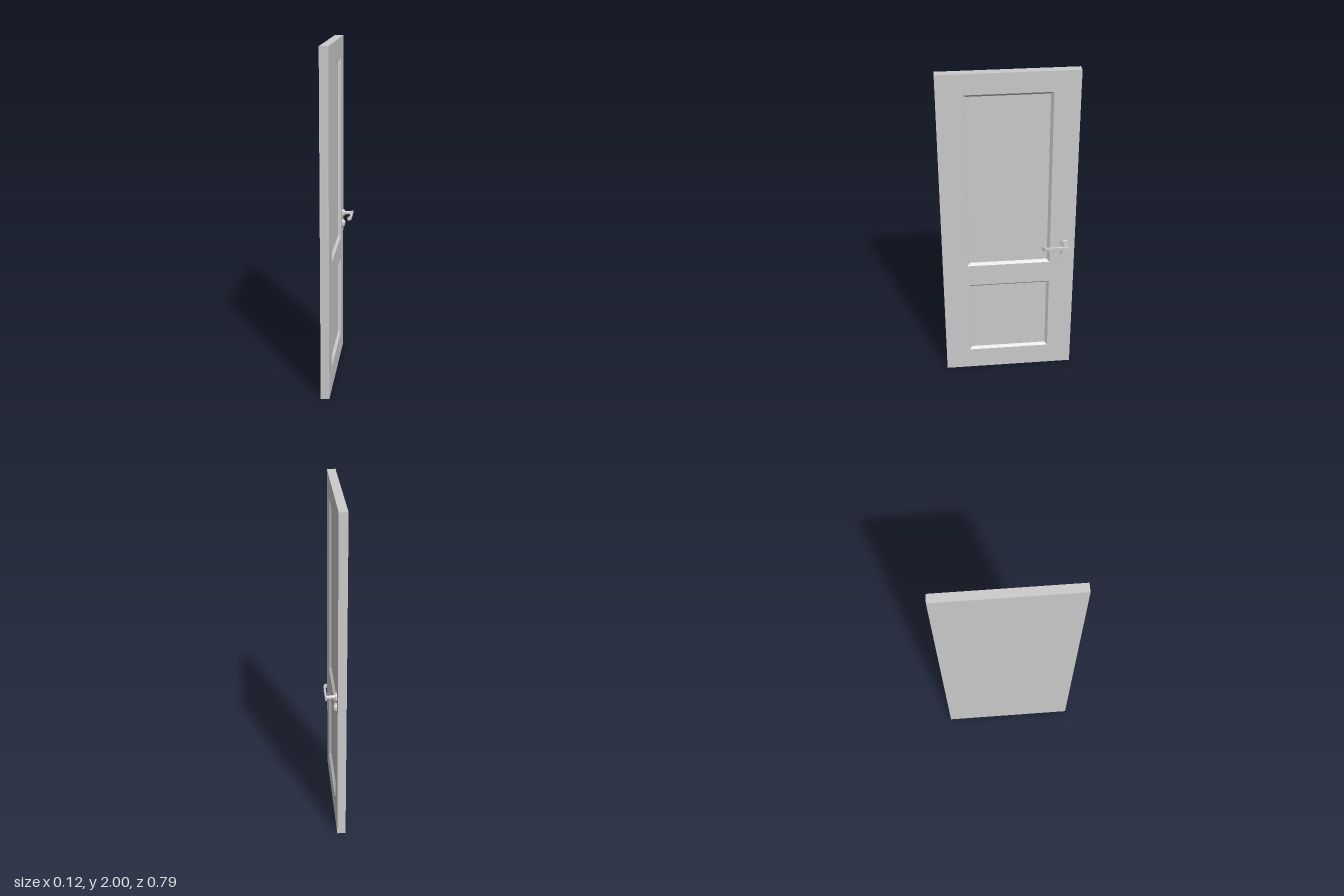
import * as THREE from 'three';
import { toCreasedNormals } from 'three/addons/utils/BufferGeometryUtils.js';

// Built facing +z (x across, y up, z outward), then turned so the panelled face looks to +x.
const HALF_W = 0.395, HEIGHT = 2;
const BACK = -0.06, FACE = -0.01, FLOOR = -0.025;
const PANELS = [[0.14, 0.64], [0.78, 1.88]]; // bottom and top of each panel
const PANEL_HALF_W = 0.247, SLOPE = 0.015;
const HANDLE_X = 0.335, HANDLE_Y = 0.91, LOCK_Y = 0.843;

const grey = new THREE.MeshStandardMaterial({ color: 0xcccccc });

function add(parent, name, geometry, x = 0, y = 0, z = 0) {
  const mesh = new THREE.Mesh(geometry, grey);
  mesh.name = name;
  mesh.position.set(x, y, z);
  parent.add(mesh);
  return mesh;
}

const rectPoints = (hw, y0, y1) => [[-hw, y0], [hw, y0], [hw, y1], [-hw, y1]];
const toVectors = (points) => points.map(([x, y]) => new THREE.Vector2(x, y));

// Sloping border between a panel opening and its recessed floor
function revealGeometry(y0, y1) {
  const outer = rectPoints(PANEL_HALF_W, y0, y1);
  const inner = rectPoints(PANEL_HALF_W - SLOPE, y0 + SLOPE, y1 - SLOPE);
  const positions = [];
  for (let i = 0; i < 4; i++) {
    const j = (i + 1) % 4;
    const a = [...outer[i], FACE], b = [...outer[j], FACE];
    const c = [...inner[j], FLOOR], d = [...inner[i], FLOOR];
    positions.push(...a, ...b, ...c, ...a, ...c, ...d);
  }
  const geometry = new THREE.BufferGeometry();
  geometry.setAttribute('position', new THREE.Float32BufferAttribute(positions, 3));
  geometry.computeVertexNormals();
  return geometry;
}

// Round part turned about the outward axis; points are [radius, depth]
function turned(points) {
  const geometry = new THREE.LatheGeometry(toVectors(points), 32).rotateX(Math.PI / 2);
  return toCreasedNormals(geometry, 0.6);
}

function makeDoorLeaf() {
  const leaf = new THREE.Group();
  leaf.name = 'doorLeaf';
  add(leaf, 'backSlab', new THREE.BoxGeometry(HALF_W * 2, HEIGHT, FLOOR - BACK),
    0, HEIGHT / 2, (FLOOR + BACK) / 2);

  // Stiles and rails in one piece, with the panel openings cut out
  const shape = new THREE.Shape(toVectors(rectPoints(HALF_W, 0, HEIGHT)));
  for (const [y0, y1] of PANELS) {
    shape.holes.push(new THREE.Path(toVectors(rectPoints(PANEL_HALF_W, y0, y1))));
    add(leaf, 'panelReveal', revealGeometry(y0, y1));
  }
  add(leaf, 'frame', new THREE.ExtrudeGeometry(shape, { depth: FACE - FLOOR, bevelEnabled: false }),
    0, 0, FLOOR);
  return leaf;
}

function makeHandle() {
  const handle = new THREE.Group();
  handle.name = 'handle';
  handle.position.set(HANDLE_X, HANDLE_Y, 0);

  // Stepped rosette and neck
  add(handle, 'rosette', turned([
    [0, FACE], [0.025, FACE], [0.025, 0], [0.023, 0.002],
    [0.019, 0.002], [0.019, 0.007], [0, 0.007],
  ]));
  add(handle, 'neck', turned([[0, 0.005], [0.011, 0.005], [0.011, 0.051], [0, 0.051]]));

  // Flat grip with its tip curling back to the door
  const grip = new THREE.Shape();
  grip.moveTo(0.018, 0.048);
  grip.lineTo(0.02, 0.053);
  grip.quadraticCurveTo(0.02, 0.056, 0.015, 0.056);
  grip.lineTo(-0.11, 0.056);
  grip.quadraticCurveTo(-0.125, 0.056, -0.134, 0.044);
  grip.lineTo(-0.136, 0.038);
  grip.lineTo(-0.13, 0.038);
  grip.quadraticCurveTo(-0.121, 0.048, -0.11, 0.048);
  grip.closePath();
  const gripGeometry = new THREE.ExtrudeGeometry(grip, {
    depth: 0.017, bevelSize: 0.002, bevelThickness: 0.003, bevelSegments: 3, curveSegments: 8,
  }).translate(0, 0, -0.0085).rotateX(Math.PI / 2);
  add(handle, 'grip', toCreasedNormals(gripGeometry, 0.7));
  return handle;
}

function makeLock() {
  const lock = new THREE.Group();
  lock.name = 'lock';
  lock.position.set(HANDLE_X, LOCK_Y, 0);
  add(lock, 'lockRosette', turned([
    [0, FACE], [0.025, FACE], [0.025, 0], [0.023, 0.002], [0, 0.002],
  ]));

  // Raised cover pierced by a keyhole
  const cover = new THREE.Shape().absarc(0, 0, 0.018, 0, Math.PI * 2);
  const keyhole = new THREE.Path();
  keyhole.absarc(0, 0.005, 0.0045, -Math.PI * 0.3, Math.PI * 1.3);
  keyhole.lineTo(-0.0025, -0.011);
  keyhole.lineTo(0.0025, -0.011);
  keyhole.closePath();
  cover.holes.push(keyhole);
  const coverGeometry = new THREE.ExtrudeGeometry(cover, {
    depth: 0.005, bevelEnabled: false, curveSegments: 24,
  });
  add(lock, 'keyholeCover', toCreasedNormals(coverGeometry, 0.6), 0, 0, 0.002);
  return lock;
}

export function createModel() {
  const door = new THREE.Group();
  door.name = 'door';
  door.add(makeDoorLeaf(), makeHandle(), makeLock());
  door.rotation.y = Math.PI / 2;
  const model = new THREE.Group();
  model.name = 'panelDoor';
  model.add(door);
  return model;
}
